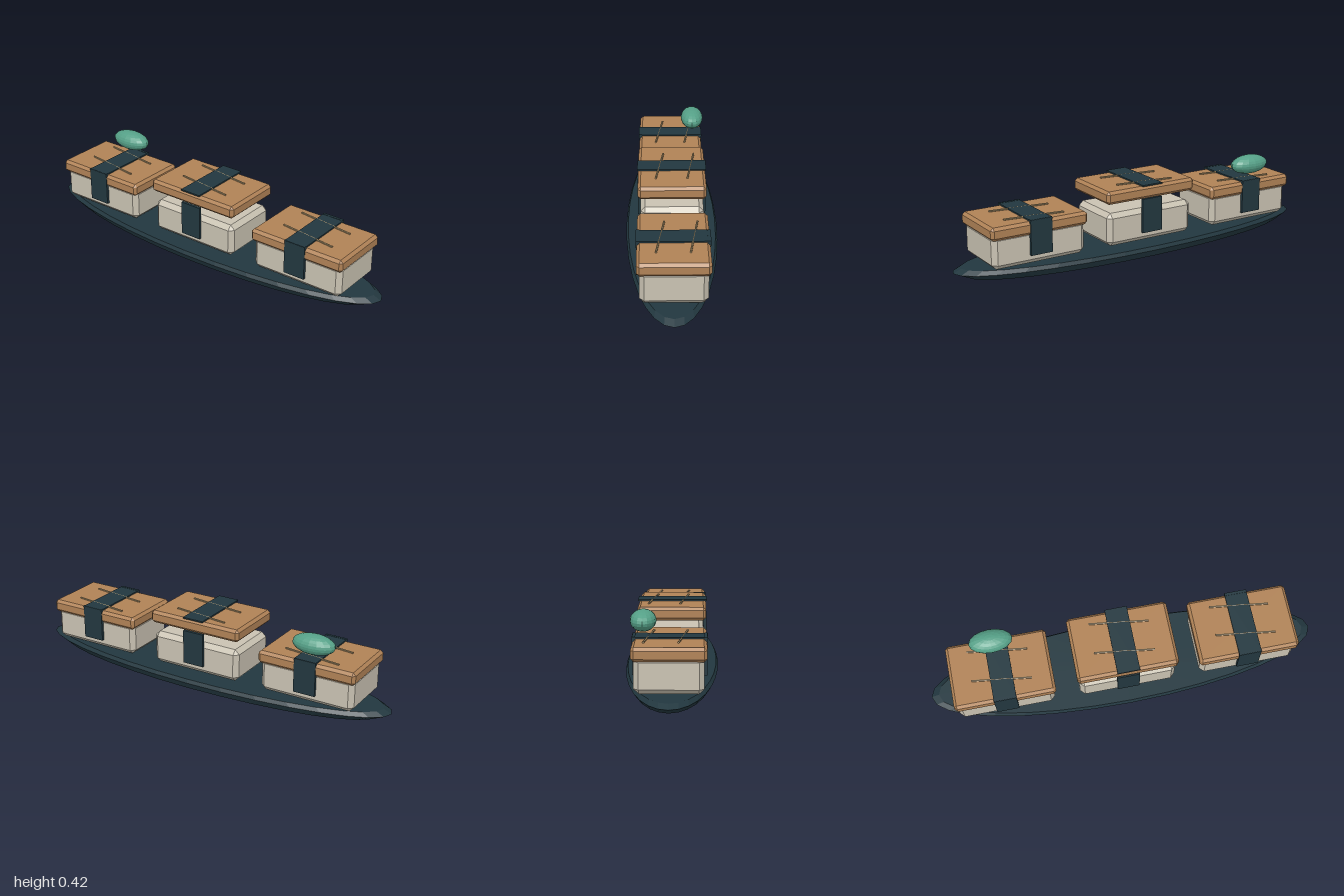
import * as THREE from 'three';
import { ConvexGeometry } from 'three/addons/geometries/ConvexGeometry.js';

const material = (name, color) => {
  const m = new THREE.MeshStandardMaterial({ color, flatShading: true });
  m.name = name;
  return m;
};

// Box with every edge cut at 45 degrees
function chamferBox(w, h, d, c) {
  const points = [];
  const half = [w / 2, h / 2, d / 2];
  for (const sx of [-1, 1]) for (const sy of [-1, 1]) for (const sz of [-1, 1]) {
    for (let face = 0; face < 3; face++) {
      const p = half.map((v, i) => (i === face ? v : v - c));
      points.push(new THREE.Vector3(p[0] * sx, p[1] * sy, p[2] * sz));
    }
  }
  return new ConvexGeometry(points);
}

export function createModel() {
  const model = new THREE.Group();
  const dark = material('dark slate', 0x22373f);
  const cream = material('cream', 0xc9c2b2);
  const brown = material('warm brown', 0xb08256);
  const tan = material('tan', 0xa89068);
  const green = material('sea green', 0x55a087);

  const add = (parent, name, geometry, mat, x, y, z) => {
    const mesh = new THREE.Mesh(geometry, mat);
    mesh.name = name;
    mesh.position.set(x, y, z);
    parent.add(mesh);
    return mesh;
  };

  // Long oval tray: a turned profile squeezed in x
  const profile = [[0, 0.002], [0.61, 0.002], [0.925, 0.018], [1, 0.052], [0.96, 0.07], [0, 0.07]]
    .map(([r, y]) => new THREE.Vector2(r, y));
  const tray = add(model, 'tray', new THREE.LatheGeometry(profile, 32), dark, 0, 0, 0);
  tray.scale.x = 0.23;

  const blockGeo = chamferBox(0.31, 0.167, 0.49, 0.023);
  const lidGeo = chamferBox(0.334, 0.065, 0.51, 0.014);
  const bandTopGeo = new THREE.BoxGeometry(0.343, 0.007, 0.113);
  const bandSideGeo = new THREE.BoxGeometry(0.014, 0.174, 0.113);
  const strandGeo = new THREE.CylinderGeometry(0.005, 0.005, 0.3, 6).rotateX(Math.PI / 2);

  // Three wrapped blocks, the middle one with its lid raised
  for (const [name, z, lift] of [['front', 0.62, 0], ['middle', 0, 0.073], ['back', -0.62, 0]]) {
    const piece = new THREE.Group();
    piece.name = name + 'Piece';
    piece.position.z = z;
    model.add(piece);
    add(piece, 'block', blockGeo, cream, 0, 0.1665, 0);
    add(piece, 'lid', lidGeo, brown, 0, 0.261 + lift, 0);
    add(piece, 'bandTop', bandTopGeo, dark, 0, 0.298 + lift, 0);
    for (const side of [-1, 1]) add(piece, 'bandSide', bandSideGeo, dark, side * 0.163, 0.216, 0);
    for (const x of [-0.06, 0.095]) {
      add(piece, 'strand', strandGeo, tan, x, 0.2975 + lift, 0).rotation.y = -0.13;
    }
  }

  // Oval bead resting on the back piece
  const bead = add(model, 'bead', new THREE.SphereGeometry(1, 16, 12), green, 0.12, 0.374, -0.64);
  bead.scale.set(0.06, 0.049, 0.11);

  return model;
}
